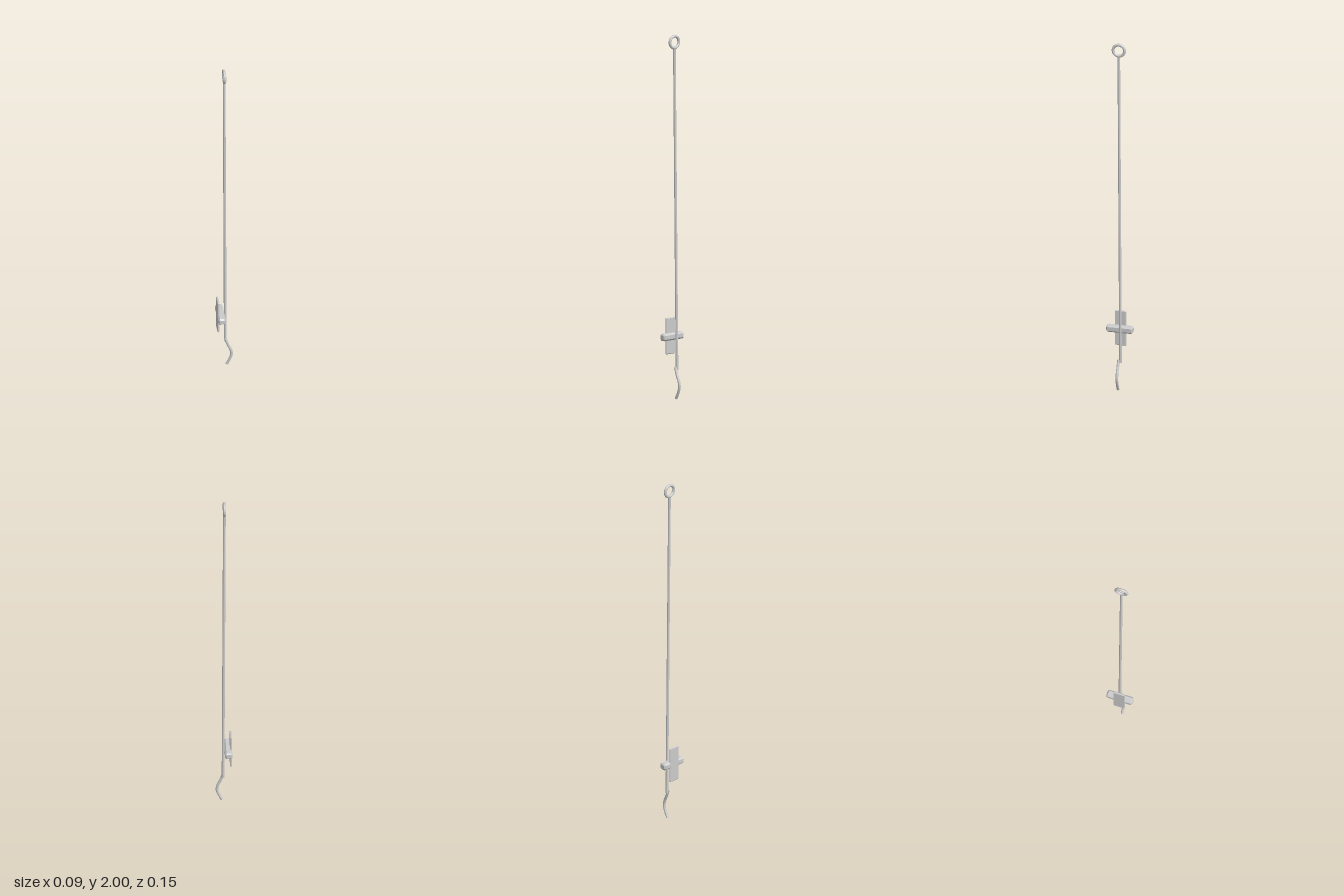
import * as THREE from 'three';

const smooth = new THREE.MeshStandardMaterial({ color: 0xcccccc });
const faceted = new THREE.MeshStandardMaterial({ color: 0xcccccc, flatShading: true });

function addPart(group, name, geometry, material) {
  const mesh = new THREE.Mesh(geometry, material);
  mesh.name = name;
  group.add(mesh);
  return mesh;
}

// Box with every edge chamfered by c, centred on the origin
function chamferedBox(w, h, d, c) {
  const a = w / 2 - c, b = h / 2 - c, k = c * 0.6;
  const outline = [
    [a, -b + k], [a, b - k], [a - k, b], [-a + k, b],
    [-a, b - k], [-a, -b + k], [-a + k, -b], [a - k, -b],
  ].map(([x, y]) => new THREE.Vector2(x, y));
  const geometry = new THREE.ExtrudeGeometry(new THREE.Shape(outline), {
    depth: d - 2 * c, bevelEnabled: true, bevelSize: c, bevelThickness: c, bevelSegments: 1,
  });
  return geometry.translate(0, 0, -(d - 2 * c) / 2);
}

// Round wire through points, with closed ends
function addWire(group, name, points, radius, segments) {
  const wire = new THREE.Group();
  wire.name = name;
  const curve = new THREE.CatmullRomCurve3(points.map((p) => new THREE.Vector3(...p)));
  addPart(wire, name + 'Tube', new THREE.TubeGeometry(curve, segments, radius, 12), smooth);
  for (const [t, sign] of [[0, -1], [1, 1]]) {
    const cap = addPart(wire, name + 'Cap', new THREE.CircleGeometry(radius, 12), smooth);
    cap.position.copy(curve.getPointAt(t));
    cap.quaternion.setFromUnitVectors(new THREE.Vector3(0, 0, 1), curve.getTangentAt(t).multiplyScalar(sign));
  }
  group.add(wire);
}

export function createModel() {
  const model = new THREE.Group();
  model.name = 'hookedRod';

  // Hanging ring at the top, facing sideways
  const ring = addPart(model, 'ring', new THREE.TorusGeometry(0.032, 0.008, 12, 40), smooth);
  ring.rotation.y = Math.PI / 2;
  ring.position.set(-0.005, 1.96, 0);

  // Long, slightly leaning rod
  addWire(model, 'rod', [[-0.005, 1.93, 0], [-0.001, 1.04, -0.006], [0.003, 0.16, -0.012]], 0.0075, 12);

  // Bent hook at the bottom
  addWire(model, 'hook', [
    [0.002, 0.175, -0.001], [0.015, 0.138, 0], [0.031, 0.1, 0],
    [0.035, 0.07, 0], [0.025, 0.038, 0], [0.009, 0.006, 0],
  ], 0.0075, 32);

  // Cross bar and upright plate of the latch
  const bar = addPart(model, 'crossBar', chamferedBox(0.04, 0.038, 0.147, 0.007), faceted);
  bar.position.set(-0.025, 0.344, -0.001);
  const plate = addPart(model, 'latchPlate', chamferedBox(0.011, 0.2, 0.065, 0.003), faceted);
  plate.position.set(-0.0395, 0.345, -0.001);

  return model;
}
